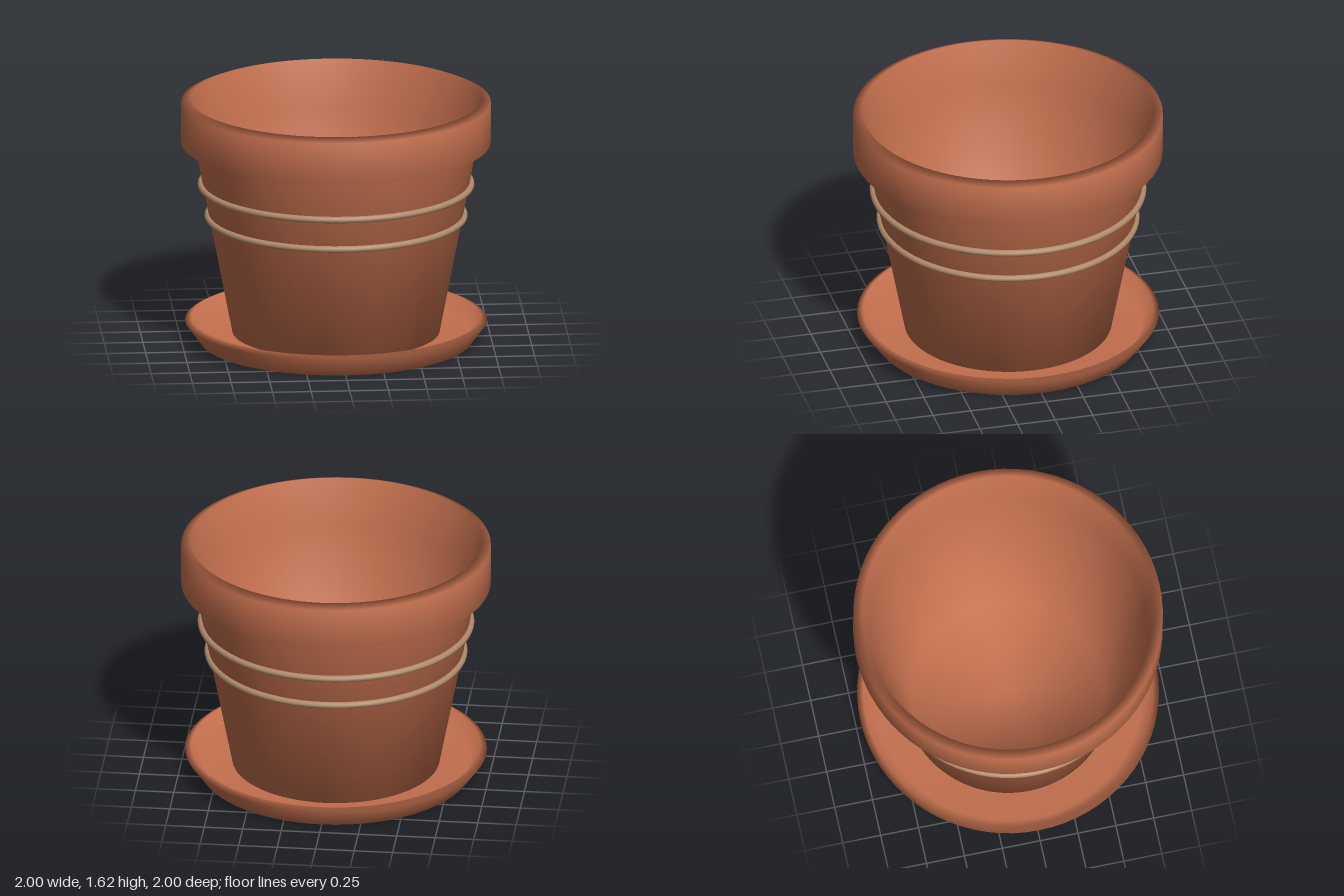
import * as THREE from 'three';

const SEGMENTS = 72;

// Revolve a profile of [radius, height] pairs, running from the underside up and over to the inside
function turned(name, profile, material) {
  const points = profile.map(([r, y]) => new THREE.Vector2(r, y));
  const mesh = new THREE.Mesh(new THREE.LatheGeometry(points, SEGMENTS), material);
  mesh.name = name;
  return mesh;
}

export function createModel() {
  const terracotta = new THREE.MeshStandardMaterial({ color: 0xc4704e });
  terracotta.name = 'terracotta';
  const twine = new THREE.MeshStandardMaterial({ color: 0xb08a6a });
  twine.name = 'tan band';

  const model = new THREE.Group();
  model.name = 'flowerPot';

  // Saucer: flared wall around a shallow flat dish
  model.add(turned('saucer', [
    [0, 0], [0.84, 0], [0.88, 0], [0.975, 0.13], [0.935, 0.15],
    [0.86, 0.05], [0, 0.05],
  ], terracotta));

  // Pot: tapered body, thick collar and hollow inside
  model.add(turned('pot', [
    [0, 0.055], [0.67, 0.055], [0.905, 1.27], [1, 1.32], [1, 1.59], [0.94, 1.615],
    [0.9, 1.3], [0.62, 0.13], [0, 0.13],
  ], terracotta));

  // Two raised bands around the body
  for (const [name, radius, y] of [['upperBand', 0.872, 1.04], ['lowerBand', 0.828, 0.83]]) {
    const band = new THREE.Mesh(new THREE.TorusGeometry(radius, 0.022, 12, SEGMENTS), twine);
    band.name = name;
    band.rotation.x = Math.PI / 2;
    band.position.y = y;
    model.add(band);
  }

  return model;
}
